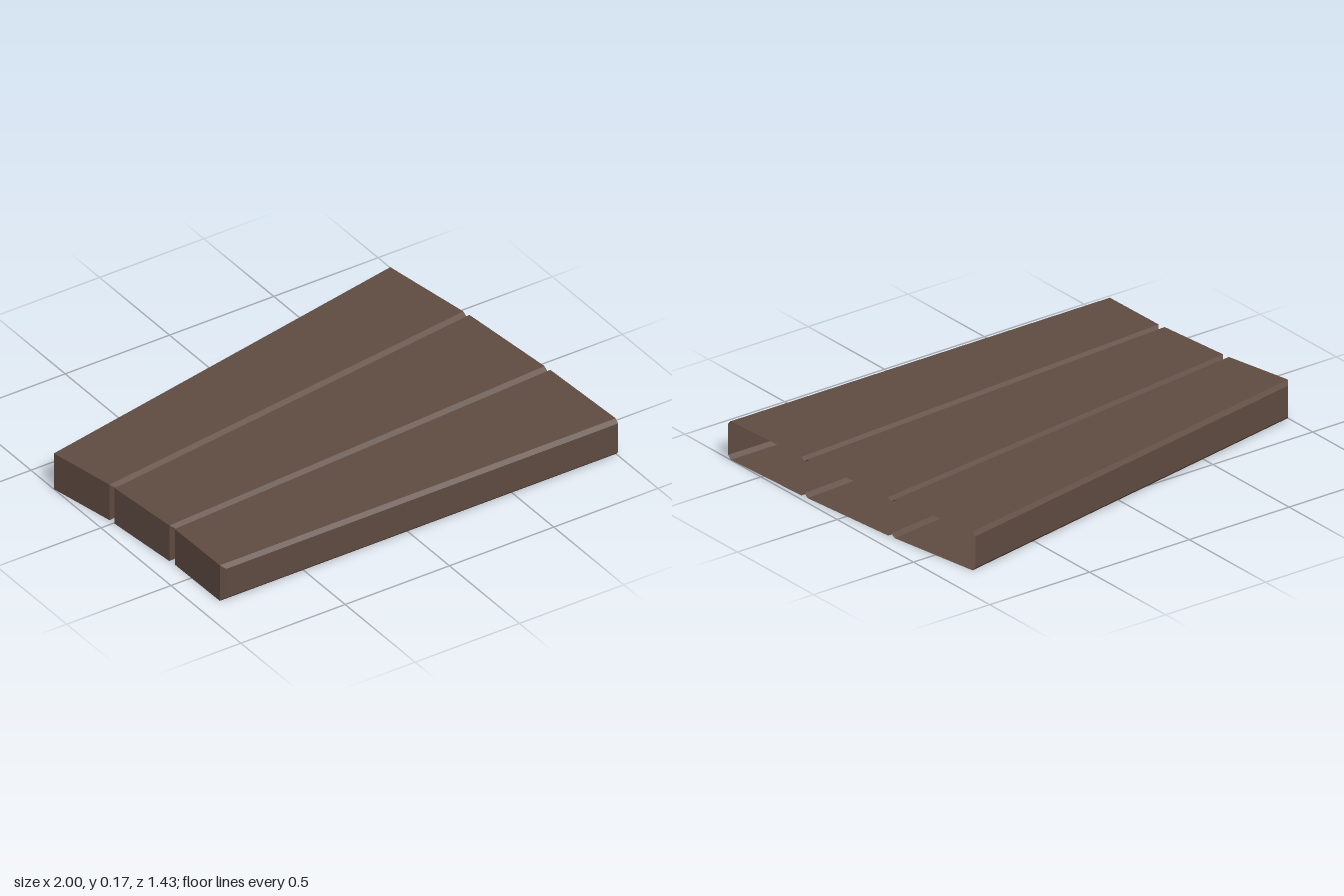
import * as THREE from 'three';

const HEIGHT = 0.17, BEVEL = 0.016;

// Each line runs along the boards as [leftX, leftZ, rightX, rightZ].
// edge = flat top border, seam = outer line of the bevel.
const boards = [
  { name: 'backPlank', backSeam: [-0.985, -0.357, 0.856, -0.719], backEdge: [-1, -0.337, 0.86, -0.704],
    frontEdge: [-0.941, -0.027, 0.924, -0.277], frontSeam: [-0.92, -0.012, 0.927, -0.26] },
  { name: 'middlePlank', backSeam: [-0.92, -0.012, 0.927, -0.26], backEdge: [-0.938, 0.006, 0.93, -0.243],
    frontEdge: [-0.907, 0.35, 0.973, 0.23], frontSeam: [-0.885, 0.365, 0.975, 0.248] },
  { name: 'frontPlank', backSeam: [-0.885, 0.365, 0.975, 0.248], backEdge: [-0.903, 0.383, 0.977, 0.265],
    frontEdge: [-0.9, 0.7, 0.999, 0.7], frontSeam: [-0.88, 0.716, 1, 0.716] },
];

const left = (line, y) => [line[0], y, line[1]];
const right = (line, y) => [line[2], y, line[3]];

// Flat-shaded surface from four-cornered faces, corners counterclockwise
function surface(name, faces, material) {
  const points = faces.flatMap(([a, b, c, d]) => [a, b, c, a, c, d]).flat();
  const geometry = new THREE.BufferGeometry();
  geometry.setAttribute('position', new THREE.Float32BufferAttribute(points, 3));
  geometry.computeVertexNormals();
  const mesh = new THREE.Mesh(geometry, material);
  mesh.name = name;
  return mesh;
}

// Face between two lines at given heights
const strip = (p, py, q, qy) => [left(p, py), right(p, py), right(q, qy), left(q, qy)];

export function createModel() {
  const group = new THREE.Group();
  group.name = 'plankPanel';
  const wood = new THREE.MeshStandardMaterial({ color: 0x5f4b41, side: THREE.DoubleSide });
  wood.name = 'darkWood';
  const H = HEIGHT, lo = BEVEL, hi = HEIGHT - BEVEL;

  // Bevelled boards, closed at the left end and open at the right
  for (const { name, backSeam: bs, backEdge: be, frontEdge: fe, frontSeam: fs } of boards) {
    group.add(surface(name, [
      strip(fe, H, be, H),
      strip(be, 0, fe, 0),
      strip(fs, hi, fe, H),
      strip(be, H, bs, hi),
      strip(fe, 0, fs, lo),
      strip(bs, lo, be, 0),
      // end cap and its upright bevels
      [left(be, 0), left(fe, 0), left(fe, H), left(be, H)],
      [left(fe, 0), left(fs, lo), left(fs, hi), left(fe, H)],
      [left(bs, lo), left(be, 0), left(be, H), left(bs, hi)],
    ], wood));
  }

  // Outer long walls
  const front = boards[2].frontSeam, back = boards[0].backSeam;
  group.add(surface('frontWall', [strip(front, lo, front, hi)], wood));
  group.add(surface('backWall', [strip(back, hi, back, lo)], wood));
  return group;
}
